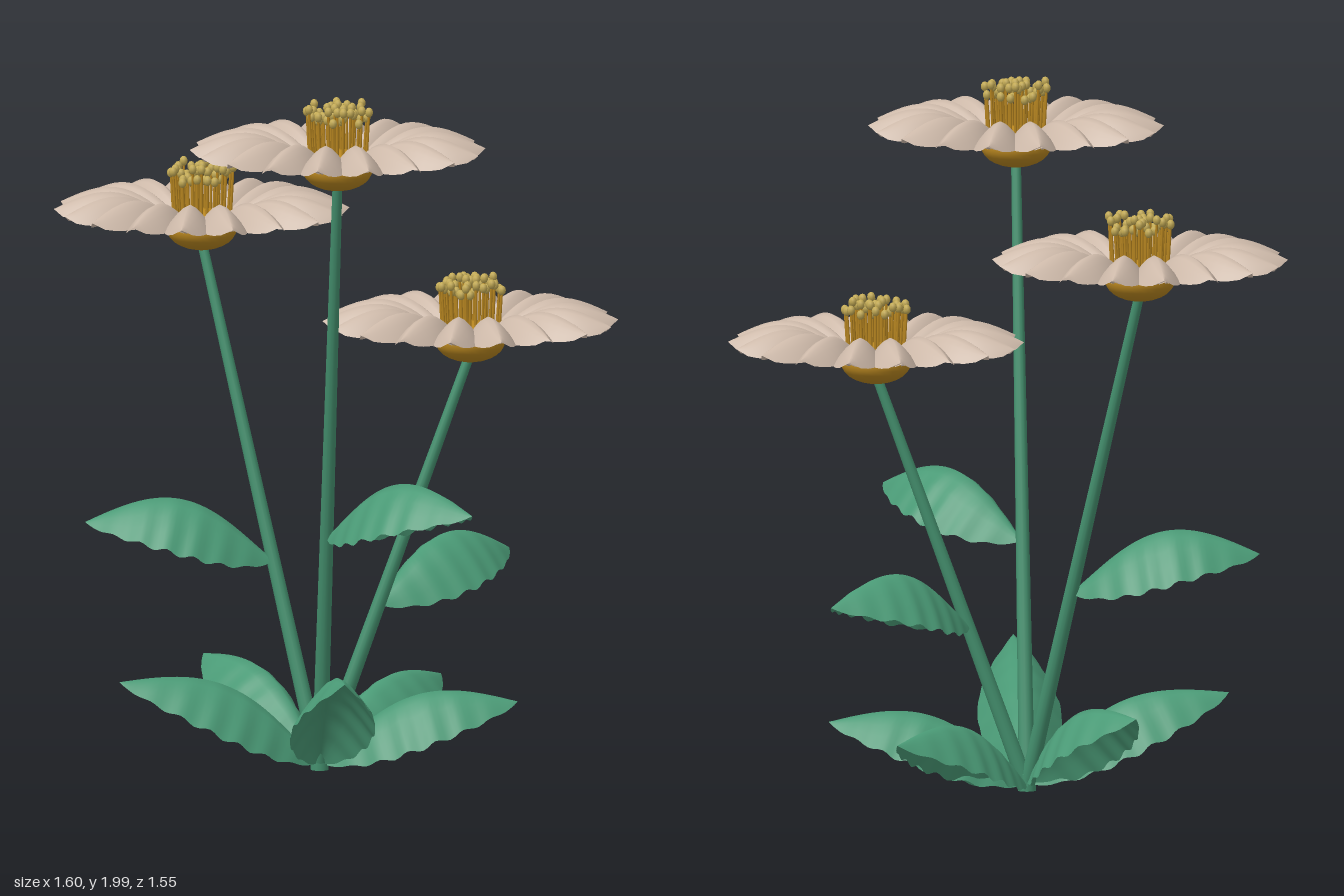
import * as THREE from 'three';

const mat = (name, color, side = THREE.FrontSide) => {
  const m = new THREE.MeshStandardMaterial({ color, side });
  m.name = name;
  return m;
};

// Arched blade along +x: midrib bows upward, edges droop, optional pleats near the edge
function bladeGeometry({ length, width, arch, drop, outline, pleat = 0, rows = 14, cols = 8 }) {
  const pos = [], index = [];
  for (let i = 0; i <= rows; i++) {
    const t = i / rows, f = outline(t);
    for (let j = 0; j <= cols; j++) {
      const s = (j / cols) * 2 - 1, a = Math.abs(s);
      const ripple = pleat * f * a * Math.cos(t * Math.PI * 14);
      const y = arch * Math.sin(Math.PI * Math.pow(t, 1.1)) - drop * f * Math.pow(a, 1.5) + ripple;
      pos.push(length * t, y, width * 0.5 * f * s);
    }
  }
  const n = cols + 1;
  for (let i = 0; i < rows; i++) {
    for (let j = 0; j < cols; j++) {
      const a = i * n + j;
      index.push(a, a + 1, a + n, a + 1, a + n + 1, a + n);
    }
  }
  const g = new THREE.BufferGeometry();
  g.setAttribute('position', new THREE.Float32BufferAttribute(pos, 3));
  g.setIndex(index);
  g.computeVertexNormals();
  return g;
}

const leafOutline = (t) => Math.pow(Math.sin(Math.PI * t), 0.85);
const petalOutline = (t) =>
  t < 0.62 ? 0.3 + 0.7 * Math.sin((t / 0.62) * Math.PI / 2)
           : Math.pow(Math.max(0, 1 - Math.pow((t - 0.62) / 0.38, 2)), 0.75);

function seeded(seed) {
  return () => (seed = (seed * 16807) % 2147483647) / 2147483647;
}

export function createModel() {
  const root = new THREE.Group();
  root.name = 'floweringPlant';

  const leafGreen = mat('leaf green', 0x4a9a76, THREE.DoubleSide);
  const stemGreen = mat('stem green', 0x44906e);
  const petalBeige = mat('petal beige', 0xcdb9a9, THREE.DoubleSide);
  const discGold = mat('disc gold', 0xb8861f);
  const tipGold = mat('anther gold', 0xc4ab55);

  const add = (parent, name, geo, material, x = 0, y = 0, z = 0) => {
    const m = new THREE.Mesh(geo, material);
    m.name = name;
    m.position.set(x, y, z);
    parent.add(m);
    return m;
  };

  // Tapered rod between two points
  const rod = (parent, name, a, b, r0, r1, material, sides) => {
    const d = b.clone().sub(a);
    const m = add(parent, name, new THREE.CylinderGeometry(r1, r0, d.length(), sides), material);
    m.position.copy(a).addScaledVector(d, 0.5);
    m.quaternion.setFromUnitVectors(new THREE.Vector3(0, 1, 0), d.normalize());
  };

  // Leaf stretched from its base to its tip
  const leaf = (name, from, tip, width, arch, drop) => {
    const d = tip.clone().sub(from);
    const geo = bladeGeometry({
      length: d.length(), width, arch, drop, outline: leafOutline, pleat: 0.007, rows: 42,
    });
    const m = add(root, name, geo, leafGreen, from.x, from.y, from.z);
    m.rotation.set(0, Math.atan2(-d.z, d.x), Math.atan2(d.y, Math.hypot(d.x, d.z)), 'YZX');
  };

  // Flower head with its origin at the petal ring
  const petalGeo = bladeGeometry({
    length: 0.36, width: 0.135, arch: 0.07, drop: 0.07, outline: petalOutline,
  });
  const antherGeo = new THREE.SphereGeometry(0.0115, 8, 6);
  const makeFlower = (seed) => {
    const flower = new THREE.Group(), rnd = seeded(seed);
    flower.name = 'flowerHead';
    const hub = add(flower, 'disc', new THREE.SphereGeometry(0.1, 24, 14), discGold, 0, -0.005, 0);
    hub.scale.y = 0.6;
    const petals = 18;
    for (let i = 0; i < petals; i++) {
      const a = (i / petals) * Math.PI * 2;
      const p = add(flower, 'petal', petalGeo, petalBeige, 0.065 * Math.cos(a), 0.008, -0.065 * Math.sin(a));
      p.rotation.set(0, a, 0.13, 'YZX');
    }
    // Stamens in a sunflower spiral
    const count = 44;
    for (let i = 0; i < count; i++) {
      const r = 0.094 * Math.sqrt((i + 0.5) / count), a = i * 2.39996;
      const x = r * Math.cos(a), z = r * Math.sin(a), top = 0.135 + 0.045 * rnd();
      rod(flower, 'filament', new THREE.Vector3(x * 0.9, 0.01, z * 0.9), new THREE.Vector3(x, top, z),
        0.005, 0.004, discGold, 6);
      add(flower, 'anther', antherGeo, tipGold, x, top, z).scale.y = 1.25;
    }
    return flower;
  };

  const V = (x, y, z) => new THREE.Vector3(x, y, z);
  const base = V(-0.055, 0.01, -0.063);

  // Three stems, each with a flower head and one stem leaf
  const plants = [
    { head: V(-0.02, 1.8, 0.355), at: 0.69, tip: V(0.36, 0.81, 0.465) },
    { head: V(-0.38, 1.52, -0.365), at: 0.58, tip: V(-0.72, 0.7, -0.18) },
    { head: V(0.375, 1.238, -0.07), at: 0.47, tip: V(0.5, 0.58, -0.44) },
  ];
  plants.forEach(({ head, at, tip }, i) => {
    rod(root, 'stem', base, head.clone().setY(head.y - 0.04), 0.023, 0.014, stemGreen, 12);
    const flower = makeFlower(41 + i * 17);
    flower.position.copy(head);
    root.add(flower);
    leaf('stemLeaf', base.clone().lerp(head, at / head.y), tip, 0.26, 0.12, 0.14);
  });

  // Rosette of leaves at the ground
  const rosette = [
    V(0.51, 0.195, -0.05), V(-0.01, 0.35, 0.62), V(-0.63, 0.27, 0.03),
    V(-0.37, 0.27, -0.5), V(0.31, 0.2, -0.55),
  ];
  for (const tip of rosette) leaf('baseLeaf', V(-0.055, 0.02, -0.063), tip, 0.24, 0.105, 0.135);
  add(root, 'crown', new THREE.CylinderGeometry(0.026, 0.026, 0.05, 14), stemGreen, base.x, 0.025, base.z);

  return root;
}
